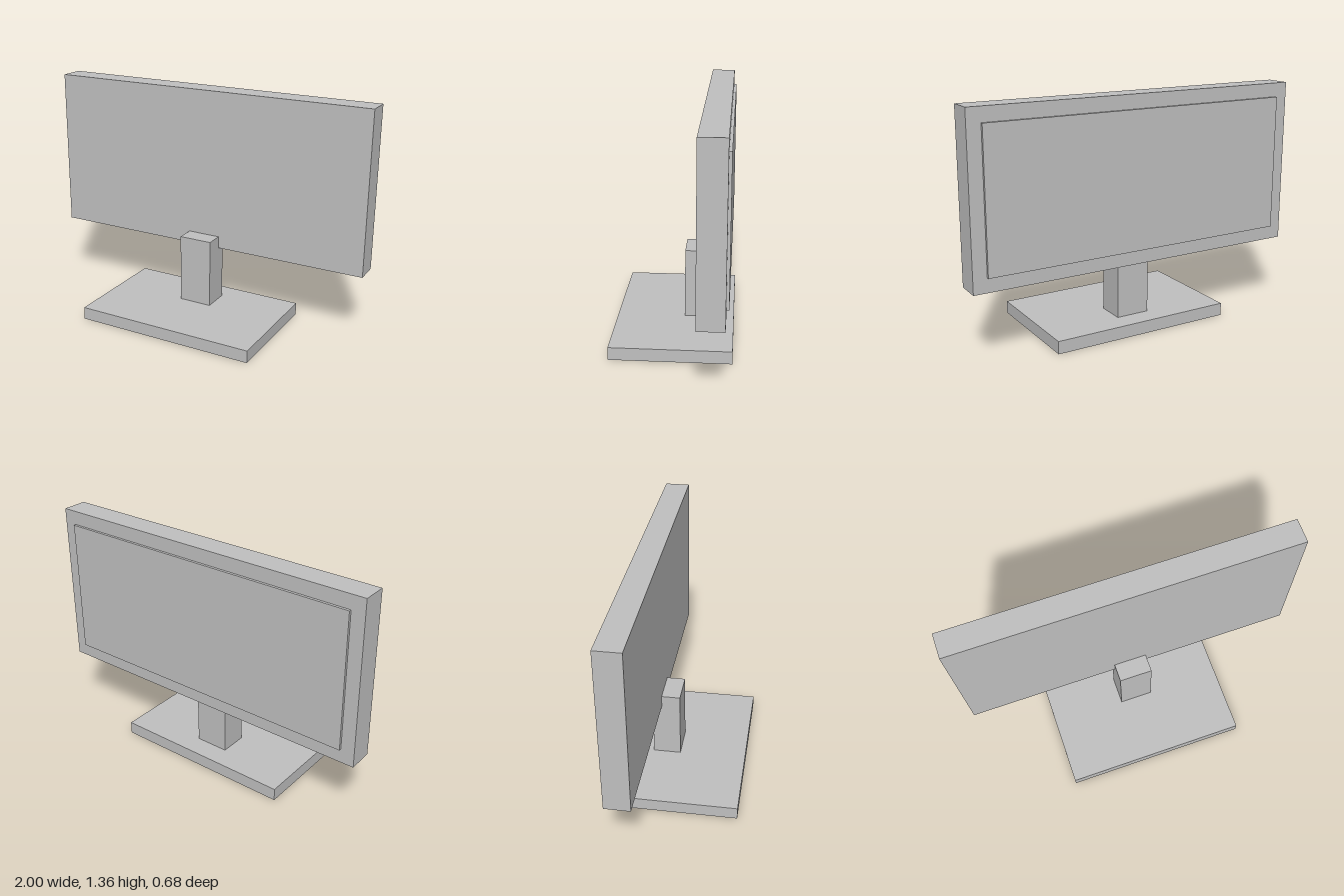
import * as THREE from 'three';

export function createModel() {
  const model = new THREE.Group();
  model.name = 'monitor';

  const grey = new THREE.MeshStandardMaterial({ color: 0xc0c0c0 });
  grey.name = 'lightGrey';

  // Box centred on x, given its half width and its y and z extents
  function slab(name, halfWidth, [y0, y1], [z0, z1]) {
    const mesh = new THREE.Mesh(new THREE.BoxGeometry(2 * halfWidth, y1 - y0, z1 - z0), grey);
    mesh.position.set(0, (y0 + y1) / 2, (z0 + z1) / 2);
    mesh.name = name;
    model.add(mesh);
  }

  // Stand
  slab('base', 0.545, [0, 0.074], [-0.342, 0.342]);
  slab('neck', 0.1, [0.074, 0.484], [-0.217, -0.054]);

  // Display, with the raised screen on the side away from the neck
  slab('housing', 1, [0.412, 1.364], [-0.308, -0.163]);
  slab('screen', 0.922, [0.493, 1.283], [-0.323, -0.308]);

  return model;
}
